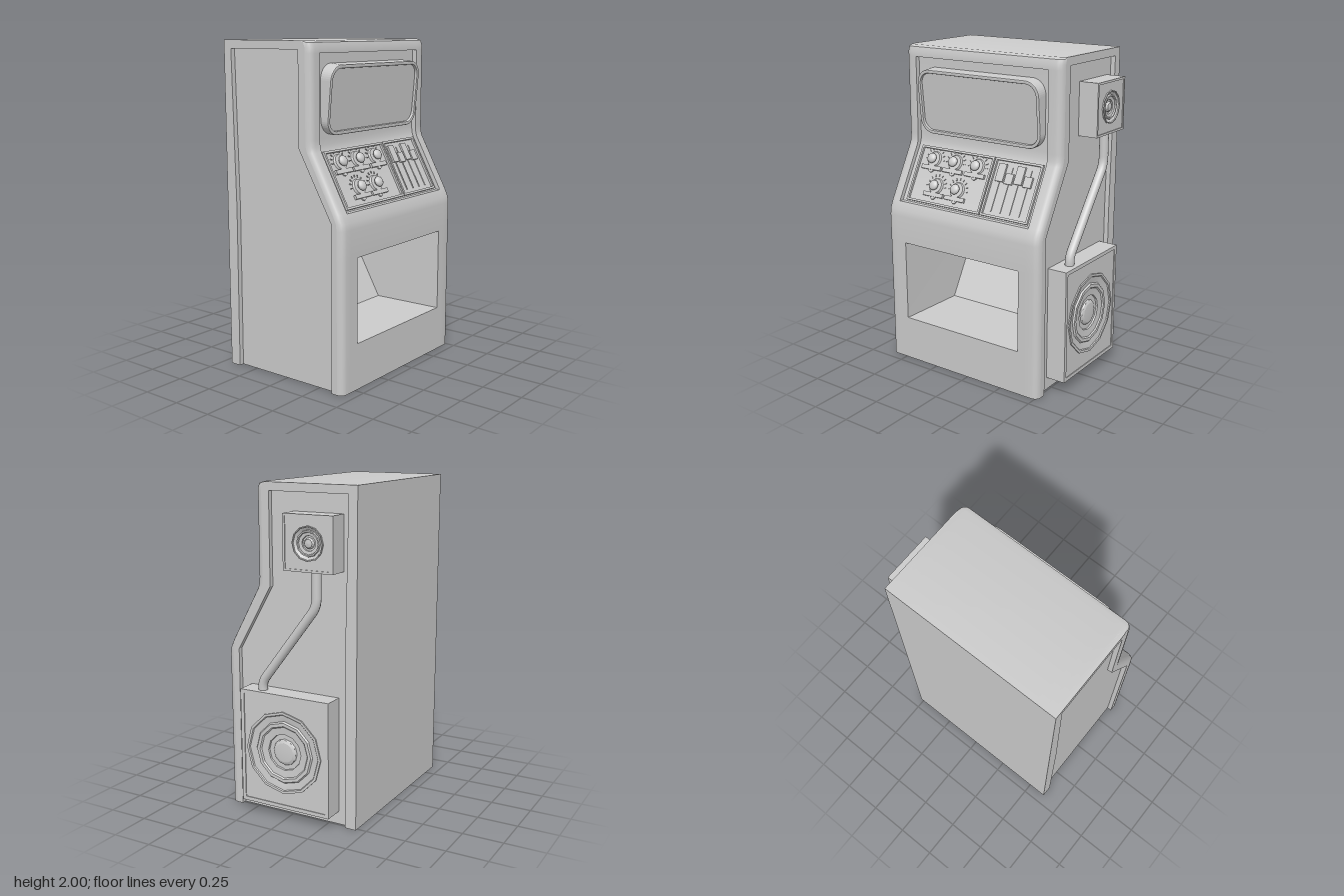
import * as THREE from 'three';
import { toCreasedNormals } from 'three/addons/utils/BufferGeometryUtils.js';

const material = new THREE.MeshStandardMaterial({ color: 0xcccccc, side: THREE.DoubleSide });

function add(parent, name, geometry, x = 0, y = 0, z = 0) {
  const mesh = new THREE.Mesh(geometry, material);
  mesh.name = name;
  mesh.position.set(x, y, z);
  parent.add(mesh);
  return mesh;
}

const box = (w, h, d) => new THREE.BoxGeometry(w, h, d);

// Skin over rows [z, y, weight] and columns [x, zOffset]; cells where skip() is true stay open.
function skin(rows, cols, skip = () => false, crease = 0.5) {
  const pos = [];
  const point = (r, c) => [c[0], r[1], r[0] + c[1] * (r[2] ?? 1)];
  for (let i = 0; i < rows.length - 1; i++) {
    for (let j = 0; j < cols.length - 1; j++) {
      const x = (cols[j][0] + cols[j + 1][0]) / 2, y = (rows[i][1] + rows[i + 1][1]) / 2;
      const isFront = rows[i + 1][0] > 0;
      if (isFront && skip(x, y)) continue;
      const a = point(rows[i], cols[j]), b = point(rows[i], cols[j + 1]);
      const c = point(rows[i + 1], cols[j + 1]), d = point(rows[i + 1], cols[j]);
      pos.push(...a, ...b, ...c, ...a, ...c, ...d);
    }
  }
  const g = new THREE.BufferGeometry();
  g.setAttribute('position', new THREE.Float32BufferAttribute(pos, 3));
  return toCreasedNormals(g, crease);
}

// Extrude a [z, y] outline along +x.
const outline = (pts) => pts.map(([z, y]) => new THREE.Vector2(-z, y));
function extrudeX(pts, depth, hole) {
  const shape = new THREE.Shape(outline(pts));
  if (hole) shape.holes.push(new THREE.Path(outline(hole)));
  return new THREE.ExtrudeGeometry(shape, { depth, bevelEnabled: false }).rotateY(Math.PI / 2);
}

function roundedRect(w, h, r, Type = THREE.Shape) {
  const p = new Type(), x = w / 2 - r, y = h / 2 - r;
  p.absarc(x, y, r, 0, Math.PI / 2);
  p.absarc(-x, y, r, Math.PI / 2, Math.PI);
  p.absarc(-x, -y, r, Math.PI, Math.PI * 1.5);
  p.absarc(x, -y, r, Math.PI * 1.5, Math.PI * 2);
  p.closePath();
  return p;
}

const rect = (w, h) => [[-w / 2, -h / 2], [w / 2, -h / 2], [w / 2, h / 2], [-w / 2, h / 2]];

function addCabinet(group) {
  const L = -0.62, R = 0.52, r = 0.04, depth = 0.03;
  const front = [[0.44, 0], [0.44, 0.28], [0.44, 0.79], [0.44, 0.96], [0.435, 1], [0.4125, 1.05], [0.231, 1.38],
    [0.222, 1.41], [0.22, 1.45], [0.22, 1.93], [0.22, 1.96], [0.21, 1.99], [0.18, 2]];
  const arc = [0, 1, 2, 3, 4].map((i) => {
    const a = i * Math.PI / 8;
    return [r * (1 - Math.cos(a)), -r * (1 - Math.sin(a))];
  });
  const cols = [...arc.map(([x, z]) => [L + x, z]), [-0.54, 0], [-0.48, 0], [0.38, 0], [0.43, 0],
    ...arc.map(([x, z]) => [R - x, z]).reverse()];
  const inTray = (x, y) => x > -0.48 && x < 0.38 && y > 0.28 && y < 0.79;
  const inPanel = (x, y) => x > -0.54 && x < 0.43 && y > 1.05 && y < 1.93;
  add(group, 'cabinetShell', skin([...front, [-0.44, 2, 0], [-0.44, 0, 0]], cols,
    (x, y) => inTray(x, y) || inPanel(x, y)));
  add(group, 'cabinetBase', box(R - L - 2 * depth, 0.01, 0.875), (L + R) / 2, 0.005, -0.0025);

  // Recessed front panel following the bend
  const mid = front.slice(5, 10);
  add(group, 'frontPanel', skin([[...mid[0], 0], ...mid, [...mid[4], 0]],
    [[-0.54, 0], [-0.54, -depth], [0.43, -depth], [0.43, 0]]));

  // Collection tray with a sloping back
  add(group, 'tray', skin([[0.44, 0.28, 0], [0.44, 0.28, 0.46], [0.44, 0.79, 0.75], [0.44, 0.79, 0]],
    [[-0.48, 0], [-0.465, -1], [0.365, -1], [0.38, 0]]));

  // Side frames around sunken side panels
  const inner = [[-0.37, 0], [-0.365, 1], [-0.385, 1.95], [0.13, 1.95], [0.13, 1.4], [0.36, 1], [0.36, 0]];
  const arch = [...front.map(([z, y]) => [z - r, y]), [-0.44, 2], [-0.44, 0], ...inner];
  for (const [side, frameX, panelX] of [['right', L, L + depth], ['left', R - depth, R - depth - 0.005]]) {
    add(group, side + 'SideFrame', extrudeX(arch, depth), frameX);
    add(group, side + 'SidePanel', extrudeX(inner, 0.005), panelX);
  }
}

function addScreen(group) {
  const screen = new THREE.Group();
  screen.name = 'screen';
  screen.position.set(-0.05, 1.665, 0.247);
  screen.rotation.x = 0.09;
  group.add(screen);
  const bezel = roundedRect(0.88, 0.39, 0.085);
  bezel.holes.push(roundedRect(0.86, 0.37, 0.075, THREE.Path));
  add(screen, 'screenBezel', new THREE.ExtrudeGeometry(bezel, {
    depth: 0.085, bevelThickness: 0.006, bevelSize: 0.006, bevelSegments: 2, curveSegments: 6,
  }), 0, 0, -0.085);
  add(screen, 'screenGlass', new THREE.ShapeGeometry(roundedRect(0.87, 0.38, 0.08), 6), 0, 0, -0.012);
}

function addControls(group) {
  const panel = new THREE.Group();
  panel.name = 'controlPanel';
  panel.position.set(0, 1.215, 0.292);
  panel.rotation.x = -0.503;
  group.add(panel);
  const v = (y) => (y - 1.215) / 0.876;

  // Raised frames
  for (const [name, x0, x1] of [['knobPanelFrame', -0.505, 0.058], ['sliderPanelFrame', 0.066, 0.405]]) {
    const w = x1 - x0, h = 0.36;
    const s = new THREE.Shape(rect(w, h).map((p) => new THREE.Vector2(...p)));
    s.holes.push(new THREE.Path(rect(w - 0.026, h - 0.026).map((p) => new THREE.Vector2(...p))));
    add(panel, name, new THREE.ExtrudeGeometry(s, { depth: 0.014, bevelEnabled: false }), (x0 + x1) / 2, 0, 0);
  }

  // Knobs with a dial collar, tick marks and a plate
  for (const [x, y] of [[-0.39, 1.305], [-0.225, 1.305], [-0.055, 1.305], [-0.315, 1.16], [-0.15, 1.16]]) {
    const knob = new THREE.Group();
    knob.name = 'knob';
    knob.position.set(x, v(y), 0);
    panel.add(knob);
    add(knob, 'knobCollar', new THREE.CylinderGeometry(0.046, 0.052, 0.012, 16).rotateX(Math.PI / 2), 0, 0, 0.006);
    add(knob, 'knobStem', new THREE.CylinderGeometry(0.02, 0.02, 0.02, 12).rotateX(Math.PI / 2), 0, 0, 0.02);
    add(knob, 'knobCap', new THREE.SphereGeometry(0.032, 16, 10).scale(1, 1, 0.6), 0, 0, 0.03);
    add(knob, 'knobPlate', box(0.15, 0.026, 0.014), 0, -0.056, 0.007);
    add(knob, 'knobTab', new THREE.CylinderGeometry(0.02, 0.02, 0.008, 10).rotateX(Math.PI / 2), 0, -0.066, 0.004);
    for (let i = 0; i < 9; i++) {
      const a = i * Math.PI / 8;
      const tick = add(knob, 'knobTick', box(0.014, 0.005, 0.006), Math.cos(a) * 0.07, Math.sin(a) * 0.07, 0.003);
      tick.rotation.z = a;
    }
  }

  // Sliders on narrow tracks, alternately high and low
  for (let i = 0; i < 4; i++) {
    const x = 0.13 + i * 0.067, low = i % 2;
    add(panel, 'sliderTrack', box(0.006, 0.28, 0.005), x, -0.005, 0.0025);
    add(panel, 'sliderCap', box(0.055, low ? 0.065 : 0.11, 0.012), x, v(low ? 1.27 : 1.297), 0.008);
  }
}

// Square speaker box with a raised rim and a faceted cone facing +x
function addSpeaker(group, name, y, z, w, h, cone, coneY, coneZ, faceX) {
  const speaker = new THREE.Group();
  speaker.name = name;
  group.add(speaker);
  const sides = 12, x0 = 0.48, lip = 0.005;
  const hole = Array.from({ length: sides }, (_, i) => {
    const a = i * 2 * Math.PI / sides;
    return [coneZ - z + Math.cos(a) * cone * 0.97, coneY - y + Math.sin(a) * cone * 0.97];
  });
  add(speaker, 'speakerBox', extrudeX(rect(w, h), faceX - lip - x0, hole), x0, y, z);
  const rim = w * 0.035 + 0.002;
  add(speaker, 'speakerRim', extrudeX(rect(w, h), lip, rect(w - 2 * rim, h - 2 * rim)), faceX - lip, y, z);
  const profile = [[0, 0], [0.24, -0.005], [0.3, -0.012], [0.32, -0.02], [0.43, -0.02], [0.44, -0.01], [0.62, -0.006],
    [0.65, 0.002], [0.73, 0.002], [0.76, -0.008], [0.92, 0.002], [0.94, 0.008], [1, 0.008], [1, -0.006]]
    .map(([r, d]) => new THREE.Vector2(r * cone, d));
  const g = toCreasedNormals(new THREE.LatheGeometry(profile, sides).rotateZ(-Math.PI / 2), 0.3);
  add(speaker, 'speakerCone', g, faceX - lip, coneY, coneZ);
}

export function createModel() {
  const group = new THREE.Group();
  group.name = 'machine';
  addCabinet(group);
  addScreen(group);
  addControls(group);
  addSpeaker(group, 'lowerSpeaker', 0.432, -0.01, 0.6, 0.705, 0.255, 0.43, -0.005, 0.615);
  addSpeaker(group, 'upperSpeaker', 1.68, -0.18, 0.32, 0.32, 0.1, 1.68, -0.18, 0.615);

  // Pipe joining the two speakers
  const p = (z, y) => new THREE.Vector3(0.56, y, z);
  const path = new THREE.CurvePath();
  path.add(new THREE.LineCurve3(p(-0.205, 1.54), p(-0.205, 1.37)));
  path.add(new THREE.QuadraticBezierCurve3(p(-0.205, 1.37), p(-0.205, 1.32), p(-0.175, 1.28)));
  path.add(new THREE.LineCurve3(p(-0.175, 1.28), p(0.14, 0.868)));
  path.add(new THREE.QuadraticBezierCurve3(p(0.14, 0.868), p(0.165, 0.835), p(0.165, 0.8)));
  path.add(new THREE.LineCurve3(p(0.165, 0.8), p(0.165, 0.76)));
  add(group, 'pipe', new THREE.TubeGeometry(path, 48, 0.028, 12));
  return group;
}
